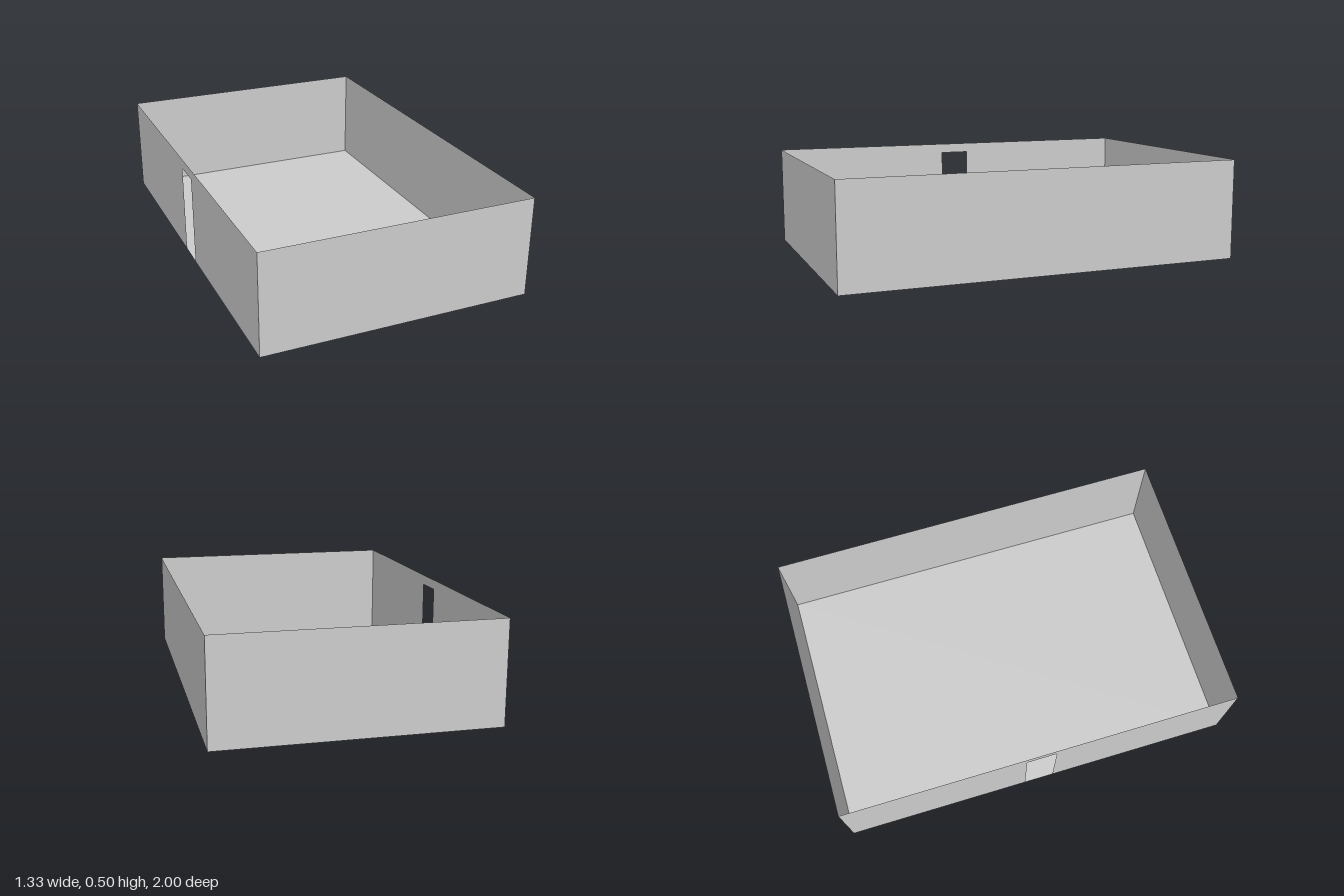
import * as THREE from 'three';

const W = 4 / 3, D = 2, H = 0.5;          // room size
const DOOR_W = 0.15, DOOR_H = 0.45;       // doorway size

export function createModel() {
  const group = new THREE.Group();
  const material = new THREE.MeshStandardMaterial({
    color: 0xcccccc, side: THREE.DoubleSide, flatShading: true,
  });

  const add = (name, geometry) => {
    const mesh = new THREE.Mesh(geometry, material);
    mesh.name = name;
    group.add(mesh);
    return mesh;
  };

  // Floor
  add('floor', new THREE.PlaneGeometry(W, D).rotateX(-Math.PI / 2));

  // Plain thin walls
  add('frontWall', new THREE.PlaneGeometry(W, H)).position.set(0, H / 2, D / 2);
  add('backWall', new THREE.PlaneGeometry(W, H).rotateY(Math.PI)).position.set(0, H / 2, -D / 2);
  add('leftWall', new THREE.PlaneGeometry(D, H).rotateY(Math.PI / 2)).position.set(W / 2, H / 2, 0);

  // Right wall, its outline notched by a doorway that reaches the floor
  const d = DOOR_W / 2;
  const outline = [
    [-D / 2, 0], [-d, 0], [-d, DOOR_H], [d, DOOR_H],
    [d, 0], [D / 2, 0], [D / 2, H], [-D / 2, H],
  ].map(([x, y]) => new THREE.Vector2(x, y));
  const doorWall = new THREE.ShapeGeometry(new THREE.Shape(outline)).rotateY(-Math.PI / 2);
  add('rightWallWithDoorway', doorWall).position.x = -W / 2;

  return group;
}
